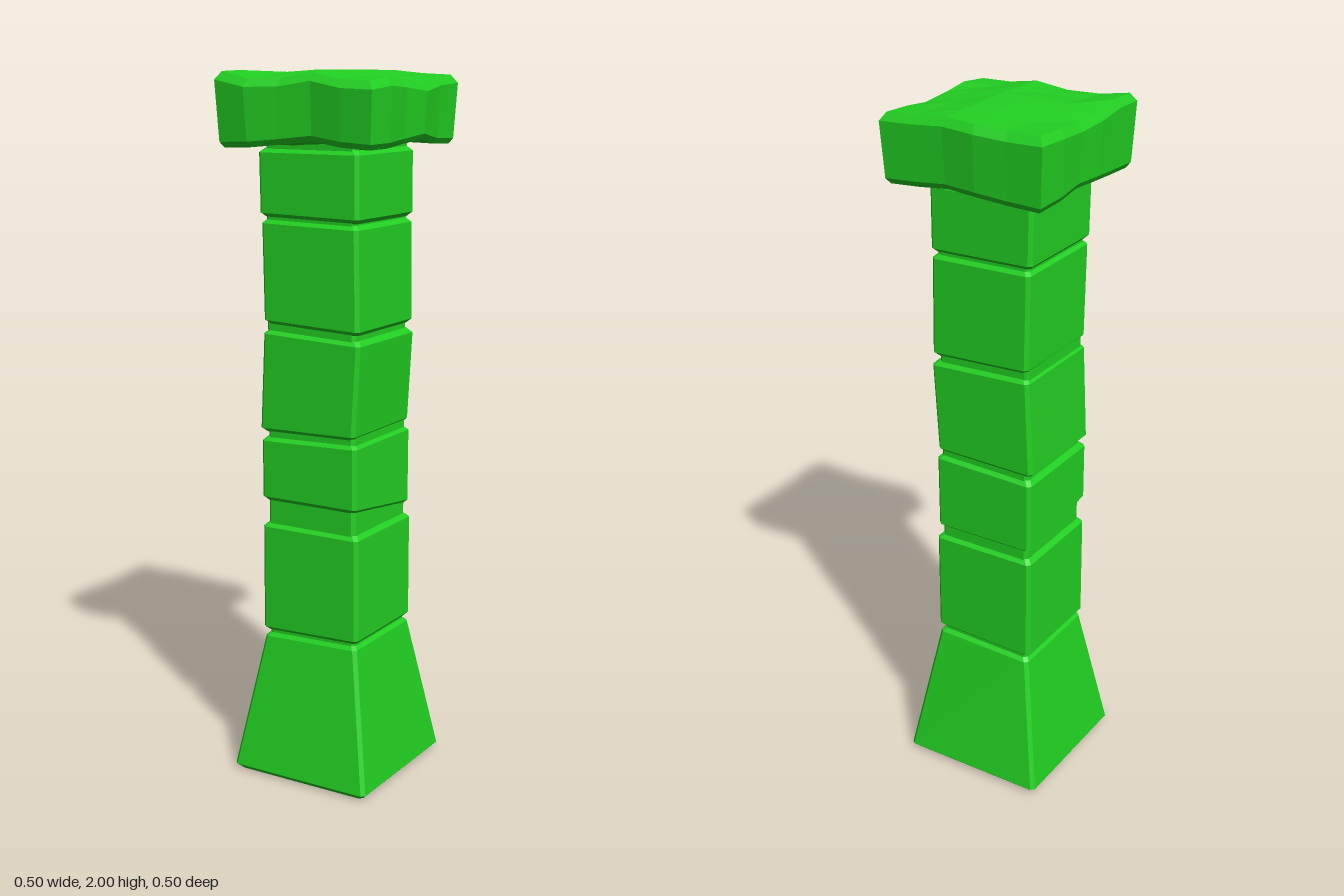
import * as THREE from 'three';

const material = new THREE.MeshStandardMaterial({ color: 0x22d022, flatShading: true });

// Square ring with clipped corners, as [x, y, z] points; tilts slope it in x and z
function ring({ y, x0, x1, z0, z1, tx = 0, tz = 0 }, inset = 0, dy = 0) {
  const c = 0.01;
  const l = x0 + inset, r = x1 - inset, b = z0 + inset, f = z1 - inset;
  return [[l + c, f], [r - c, f], [r, f - c], [r, b + c], [r - c, b], [l + c, b], [l, b + c], [l, f - c]]
    .map(([x, z]) => [x, y + dy + tx * x + tz * z, z]);
}

// Closed skin over a stack of rings
function loft(rings) {
  const n = rings[0].length, index = [], points = rings.flat();
  for (let k = 0; k < rings.length - 1; k++) {
    for (let i = 0; i < n; i++) {
      const a = k * n + i, b = k * n + (i + 1) % n;
      index.push(a, b, b + n, a, b + n, a + n);
    }
  }
  const top = (rings.length - 1) * n;
  for (let i = 1; i < n - 1; i++) index.push(0, i + 1, i, top, top + i, top + i + 1);
  const g = new THREE.BufferGeometry();
  g.setAttribute('position', new THREE.Float32BufferAttribute(points.flat(), 3));
  g.setIndex(index);
  g.computeVertexNormals();
  return g;
}

// Stone block with bevelled top and bottom edges
const block = (lo, hi, bevel = 0.012) => loft([
  ring(lo, bevel), ring(lo, 0, bevel), ring(hi, 0, -bevel), ring(hi, bevel),
]);

const level = (y, x0, x1, tx = 0, tz = 0, z0 = -0.155, z1 = 0.155) => ({ y, x0, x1, z0, z1, tx, tz });

// Edge offsets of the cap: front/back run left to right, the sides run back to front
const bulge = {
  front: [-0.004, 0.008, -0.007, -0.018, -0.007, -0.004],
  back: [0.004, 0.004, 0.009, 0, 0.002, 0.004],
  right: [-0.003, -0.003, 0.008, -0.002, 0.005, 0],
  left: [0.004, 0.008, 0.002, 0.006, 0.004, 0.003],
};
const topDip = {
  front: [0.003, 0.03, 0.02, 0.005, 0.02, 0.025],
  back: [0.008, 0.012, 0.006, 0.002, 0.008, 0.014],
  right: [0.014, 0.022, 0.033, 0.022, 0.012, 0.025],
  left: [0.008, 0.012, 0.018, 0.012, 0, 0.003],
};
const bottomRise = {
  front: [0, 0.005, 0.012, 0.022, 0.012, 0.004],
  back: [0.002, 0.006, 0.012, 0.015, 0.008, 0],
  right: [0.004, 0.01, 0.022, 0.012, 0.006, 0.004],
  left: [0, 0.008, 0.014, 0.01, 0.006, 0],
};

// Cap slab: a gridded box with wavy sides and a bevelled rim
function capGeometry() {
  const g = new THREE.BoxGeometry(2, 3, 2, 5, 3, 5);
  const p = g.attributes.position;
  const fade = (d) => Math.max(0, 1 - d / 2);
  for (let v = 0; v < p.count; v++) {
    const sx = p.getX(v), sz = p.getZ(v);
    const i = Math.round((sx + 1) * 2.5), j = Math.round((sz + 1) * 2.5);
    const row = Math.round(p.getY(v) + 1.5);
    const wave = (t) => {
      const w = [fade(5 - j), fade(j), fade(5 - i), fade(i)];
      const sum = w[0] + w[1] + w[2] + w[3];
      const total = t.front[i] * w[0] + t.back[i] * w[1] + t.right[j] * w[2] + t.left[j] * w[3];
      return total / Math.max(1, sum);
    };
    const size = [0.222, 0.232, 0.24, 0.225][row];
    let x = sx * size, z = sz * size;
    if (i === 5) x += bulge.right[j];
    if (i === 0) x -= bulge.left[j];
    if (j === 5) z += bulge.front[i];
    if (j === 0) z -= bulge.back[i];
    const y = [1.797, 1.812, 1.978, 2][row] + (row > 1 ? -wave(topDip) : wave(bottomRise));
    p.setXYZ(v, x, y, z);
  }
  g.computeVertexNormals();
  return g;
}

export function createModel() {
  const model = new THREE.Group();
  model.name = 'stonePillar';
  const add = (name, geometry) => {
    const mesh = new THREE.Mesh(geometry, material);
    mesh.name = name;
    model.add(mesh);
  };

  // Flared foot
  add('base', block(
    level(0, -0.222, 0.216, 0, 0, -0.225, 0.222),
    level(0.425, -0.155, 0.148, 0.03),
    0.016,
  ));

  // Core seen in the joints
  add('core', loft([
    ring(level(0.3, -0.146, 0.138, 0, 0, -0.145, 0.145)),
    ring(level(1.85, -0.146, 0.138, 0, 0, -0.145, 0.145)),
  ]));

  // Shaft blocks, each a little skewed
  const blocks = [
    [level(0.425, -0.161, 0.152, 0.03), level(0.745, -0.16, 0.152)],
    [level(0.79, -0.161, 0.146, 0, 0.13), level(1.0, -0.161, 0.147, 0.03)],
    [level(1.012, -0.165, 0.142, 0.02), level(1.295, -0.152, 0.157, -0.04)],
    [level(1.31, -0.15, 0.154, -0.04), level(1.602, -0.155, 0.15, -0.02)],
    [level(1.606, -0.16, 0.152, -0.02), level(1.795, -0.163, 0.152)],
  ];
  blocks.forEach(([lo, hi], k) => add(`shaftBlock${k + 1}`, block(lo, hi)));

  add('cap', capGeometry());
  return model;
}
